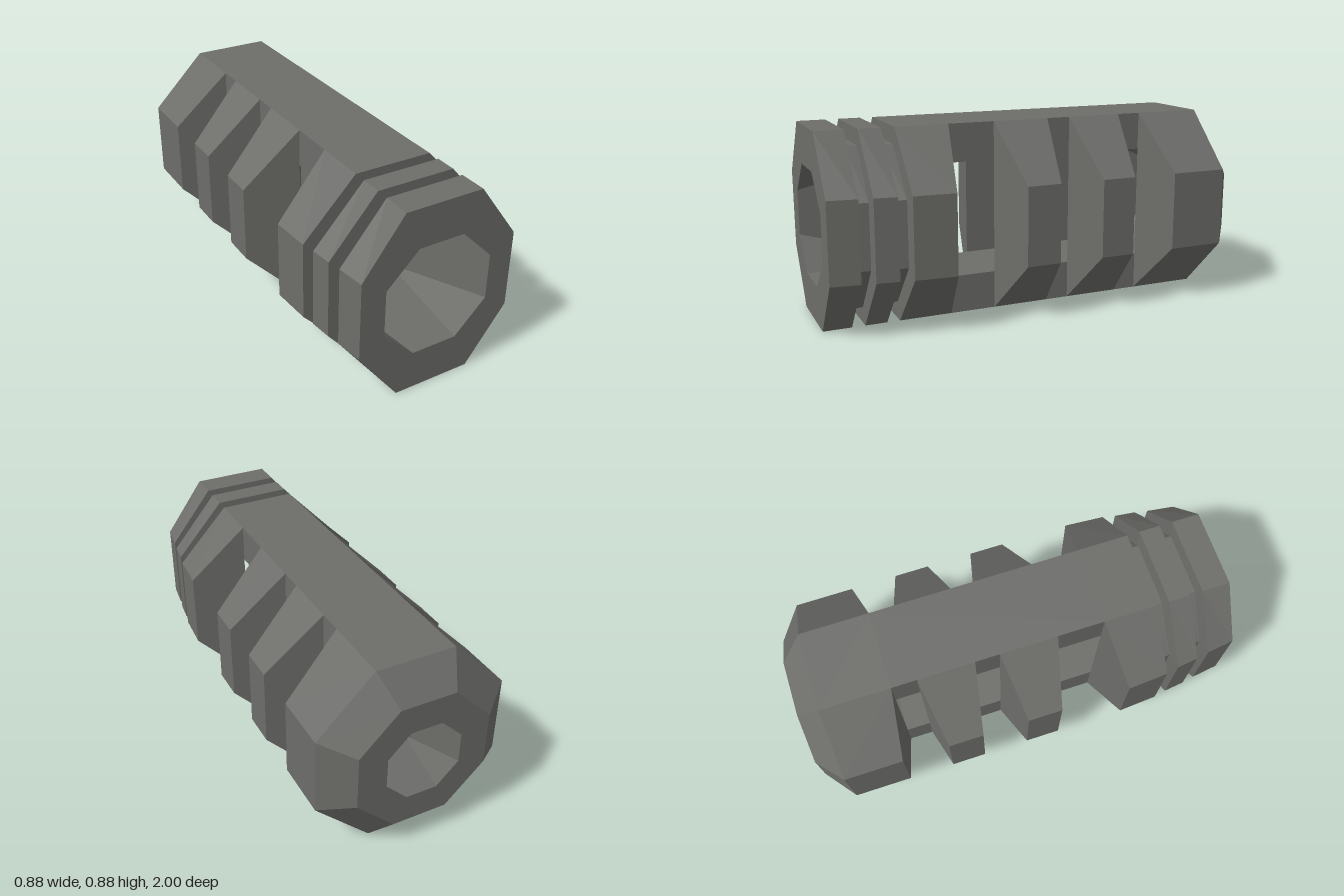
import * as THREE from 'three';

const CY = 0.44;              // height of the axis
const HALF = 0.182;           // half width of the flat top rail
const CHAMBER = 0.265;        // half height of the chamber
const Z_FRONT = 0.405, Z_BACK = -0.57; // ends of the vented chamber

const material = new THREE.MeshStandardMaterial({ color: 0x6d6d6a, flatShading: true });

// Eight-sided ring: half width, half height, corner offset, z at the
// rail corners and z at the side corners.
function ring(hw, hh, c, zRail, zSide = zRail) {
  return [
    [hw, -c, zSide], [hw, c, zSide], [c, hh, zRail], [-c, hh, zRail],
    [-hw, c, zSide], [-hw, -c, zSide], [-c, -hh, zRail], [c, -hh, zRail],
  ];
}

// Rectangular chamber mouth, with each corner doubled to match a ring.
function mouth(z) {
  const a = HALF, b = CHAMBER;
  return [[a, -b, z], [a, b, z], [a, b, z], [-a, b, z],
    [-a, b, z], [-a, -b, z], [-a, -b, z], [a, -b, z]];
}

const body = (hw, z, zSide) => ring(hw, 0.44, HALF, z, zSide);

// Skin consecutive rings with flat quads.
function loft(rings, flip) {
  const pos = [];
  for (let r = 0; r < rings.length - 1; r++) {
    const A = rings[r], B = rings[r + 1];
    for (let i = 0; i < 8; i++) {
      const j = (i + 1) % 8;
      const tris = [[A[i], A[j], B[j]], [A[i], B[j], B[i]]];
      for (const [p, q, s] of tris) pos.push(...p, ...(flip ? s : q), ...(flip ? q : s));
    }
  }
  const g = new THREE.BufferGeometry();
  g.setAttribute('position', new THREE.Float32BufferAttribute(pos, 3));
  g.computeVertexNormals();
  return g;
}

// Side baffle: a box narrowed in height and length towards its outer end.
function baffleGeometry(side, inner, outer) {
  const g = new THREE.BoxGeometry(1, 1, 1);
  const p = g.attributes.position;
  for (let i = 0; i < p.count; i++) {
    const out = p.getX(i) * side > 0;
    const range = out ? outer : inner;
    p.setXYZ(i,
      side * (out ? 0.44 : HALF),
      Math.sign(p.getY(i)) * (out ? HALF : 0.44),
      range[p.getZ(i) > 0 ? 1 : 0]);
  }
  g.computeVertexNormals();
  return g;
}

export function createModel() {
  const group = new THREE.Group();
  const add = (name, geometry, y = CY, z = 0) => {
    const mesh = new THREE.Mesh(geometry, material);
    mesh.name = name;
    mesh.position.set(0, y, z);
    group.add(mesh);
  };

  // Front collar with two grooves and a bore narrowing into the chamber
  add('frontCollar', loft([
    mouth(Z_FRONT),
    body(0.44, Z_FRONT, 0.46),
    body(0.427, 0.65),
    ring(0.342, 0.36, 0.15, 0.65),
    ring(0.335, 0.36, 0.15, 0.703),
    body(0.414, 0.71),
    body(0.402, 0.81),
    ring(0.322, 0.365, 0.148, 0.81),
    ring(0.315, 0.365, 0.148, 0.864),
    body(0.39, 0.87),
    body(0.372, 1),
    ring(0.256, 0.257, 0.107, 1),
    mouth(Z_FRONT),
  ]));

  // Rear block with a bevelled end and a smaller bore
  add('rearBlock', loft([
    mouth(Z_BACK),
    body(0.44, Z_BACK, -0.62),
    body(0.44, -0.89),
    ring(0.306, 0.306, 0.128, -1),
    ring(0.173, 0.173, 0.072, -1),
    mouth(Z_BACK),
  ], true));

  // Top and bottom rails joining the two ends
  const thick = 0.44 - CHAMBER;
  for (const s of [1, -1]) {
    add(s > 0 ? 'topRail' : 'bottomRail',
      new THREE.BoxGeometry(HALF * 2, thick, Z_FRONT - Z_BACK),
      CY + s * (CHAMBER + thick / 2), (Z_FRONT + Z_BACK) / 2);
  }

  // Two baffles on each side, between the ports
  const baffles = [
    { name: 'frontBaffle', inner: [-0.08, 0.188], outer: [-0.028, 0.133] },
    { name: 'rearBaffle', inner: [-0.455, -0.193], outer: [-0.405, -0.243] },
  ];
  for (const { name, inner, outer } of baffles) {
    for (const side of [1, -1]) {
      add(name + (side > 0 ? 'Left' : 'Right'), baffleGeometry(side, inner, outer));
    }
  }

  return group;
}
